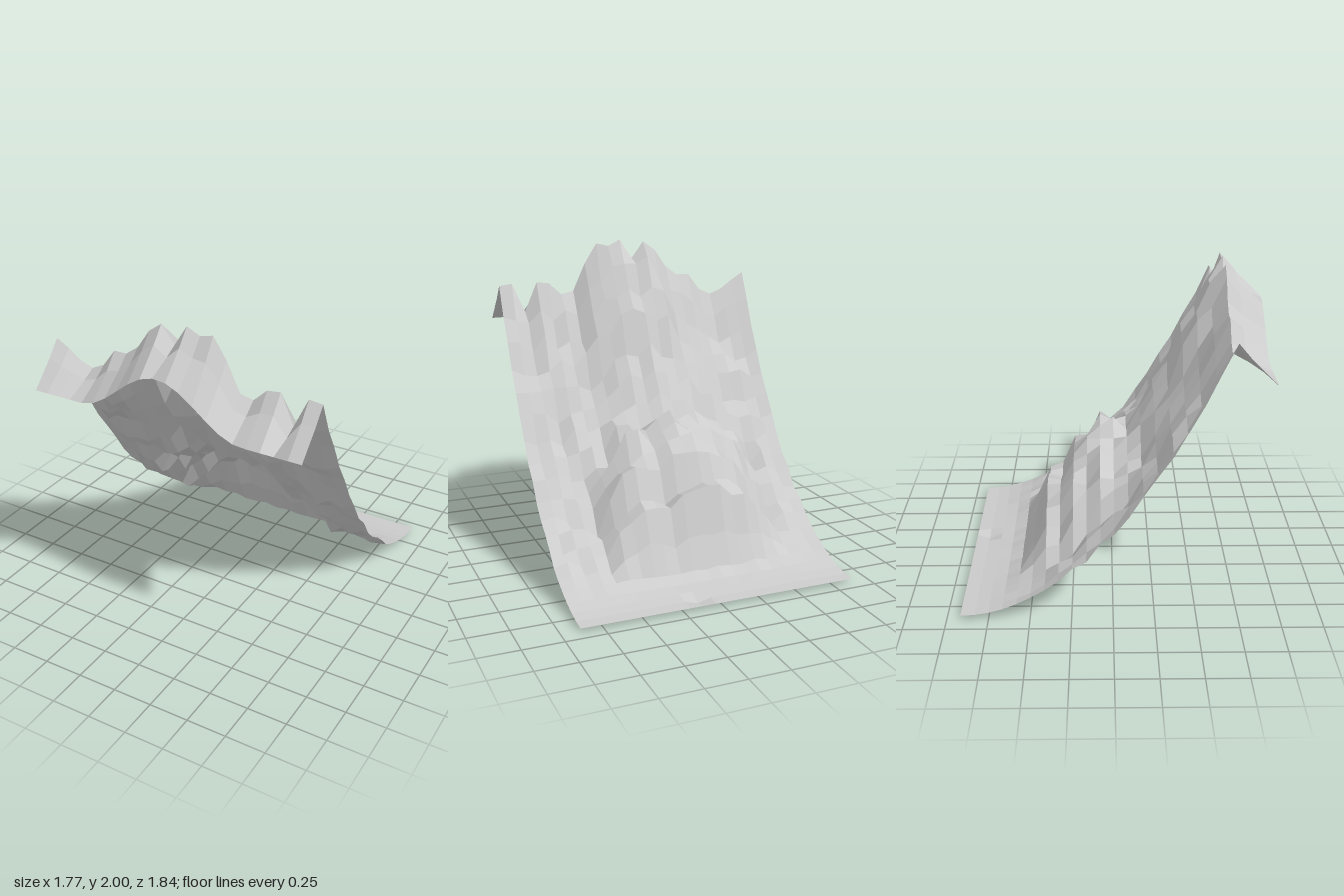
import * as THREE from 'three';

const N = 21;                 // cells along each side
const HALF_X = 0.885, HALF_Z = 0.92, STEP_Z = 0.0845;

// How far the central spur stands above the slope, row by row from the foot (-z) up
const spur = [0, 0, 0, -0.01, 0, 0.15, 0.37, 0.33, 0.46, 0.46,
  0.43, 0.34, 0.24, 0.23, 0.25, 0.26, 0.35, 0.35, 0.33];
// Jagged skyline of the crest, from -x to +x
const crest = [1.73, 1.68, 1.62, 1.59, 1.63, 1.74, 1.74, 1.8, 1.92, 1.98, 1.87,
  2.0, 1.96, 1.98, 1.85, 1.67, 1.65, 1.73, 1.74, 1.55, 1.74, 1.73];

function seeded(seed) {
  let s = seed;
  return () => {
    s = (s * 16807) % 2147483647;
    return s / 2147483647;
  };
}

const bell = (x, centre, width) => Math.exp(-(((x - centre) / width) ** 2));

// Smooth hump across the upper slope
function hump(x) {
  const t = Math.min(1, Math.abs(x + 0.02) / 0.54);
  return 0.5 + 0.5 * Math.cos(Math.PI * t);
}

// Broad shoulder across the lower slope, wider on the -x side, split by a gully
function shoulder(x) {
  const width = x < 0 ? 0.62 : 0.54;
  const top = Math.max(0, 1 - (Math.abs(x) / width) ** 3);
  return top * (1 - 0.32 * bell(x, 0.13, 0.07));
}

function rowZ(row) {
  return row === N ? HALF_Z : -HALF_Z + row * STEP_Z;
}

function height(row, col, x, random) {
  const lip = 1.48 + 0.28 * hump(x);
  if (row === N) return lip;
  if (row === N - 1) return THREE.MathUtils.lerp(crest[col], lip, 0.4);
  if (row === N - 2) return crest[col];
  // The slope steepens as a parabola
  const t = row / (N - 2);
  const base = 0.02 + 1.68 * t * t;
  const across = THREE.MathUtils.lerp(shoulder(x), hump(x),
    THREE.MathUtils.smoothstep(row, 9, 14));
  // Two ledges cut into both flanks of the shoulder
  const ledge = row === 9 || row === 11 ? 0.1 * bell(Math.abs(x), 0.36, 0.11) : 0;
  // The uppermost rows take on part of the skyline's jaggedness
  const jag = (crest[col] - 1.7 - 0.28 * hump(x)) * Math.max(0, row - 15) * 0.18;
  const rough = 0.12 * THREE.MathUtils.smoothstep(t, 0.1, 0.5)
    * (1 - 0.6 * (x / HALF_X) ** 6) * (random() - 0.55);
  return base + spur[row] * across - ledge + jag + rough;
}

export function createModel() {
  const model = new THREE.Group();
  const random = seeded(71);

  // Rocky slope: a square sheet whose points are lifted row by row
  const sheet = new THREE.PlaneGeometry(2 * HALF_X, 2 * HALF_Z, N, N);
  sheet.rotateX(-Math.PI / 2);
  const pos = sheet.attributes.position;
  for (let i = 0; i < pos.count; i++) {
    const row = Math.floor(i / (N + 1)), col = i % (N + 1);
    const x = pos.getX(i);
    pos.setXYZ(i, x, height(row, col, x, random), rowZ(row));
  }
  // Let the lowest point of the foot touch the ground
  pos.setY(N + 1 + 12, 0);

  // One shared normal for the two triangles of each cell
  const geometry = sheet.toNonIndexed();
  geometry.computeVertexNormals();
  const normal = geometry.attributes.normal;
  const a = new THREE.Vector3(), b = new THREE.Vector3();
  for (let i = 0; i < normal.count; i += 6) {
    a.fromBufferAttribute(normal, i);
    b.fromBufferAttribute(normal, i + 3);
    a.add(b).normalize();
    for (let k = 0; k < 6; k++) normal.setXYZ(i + k, a.x, a.y, a.z);
  }

  const slope = new THREE.Mesh(geometry, new THREE.MeshStandardMaterial({
    color: 0xcccccc, side: THREE.DoubleSide,
  }));
  slope.name = 'rockySlope';
  model.add(slope);
  return model;
}
